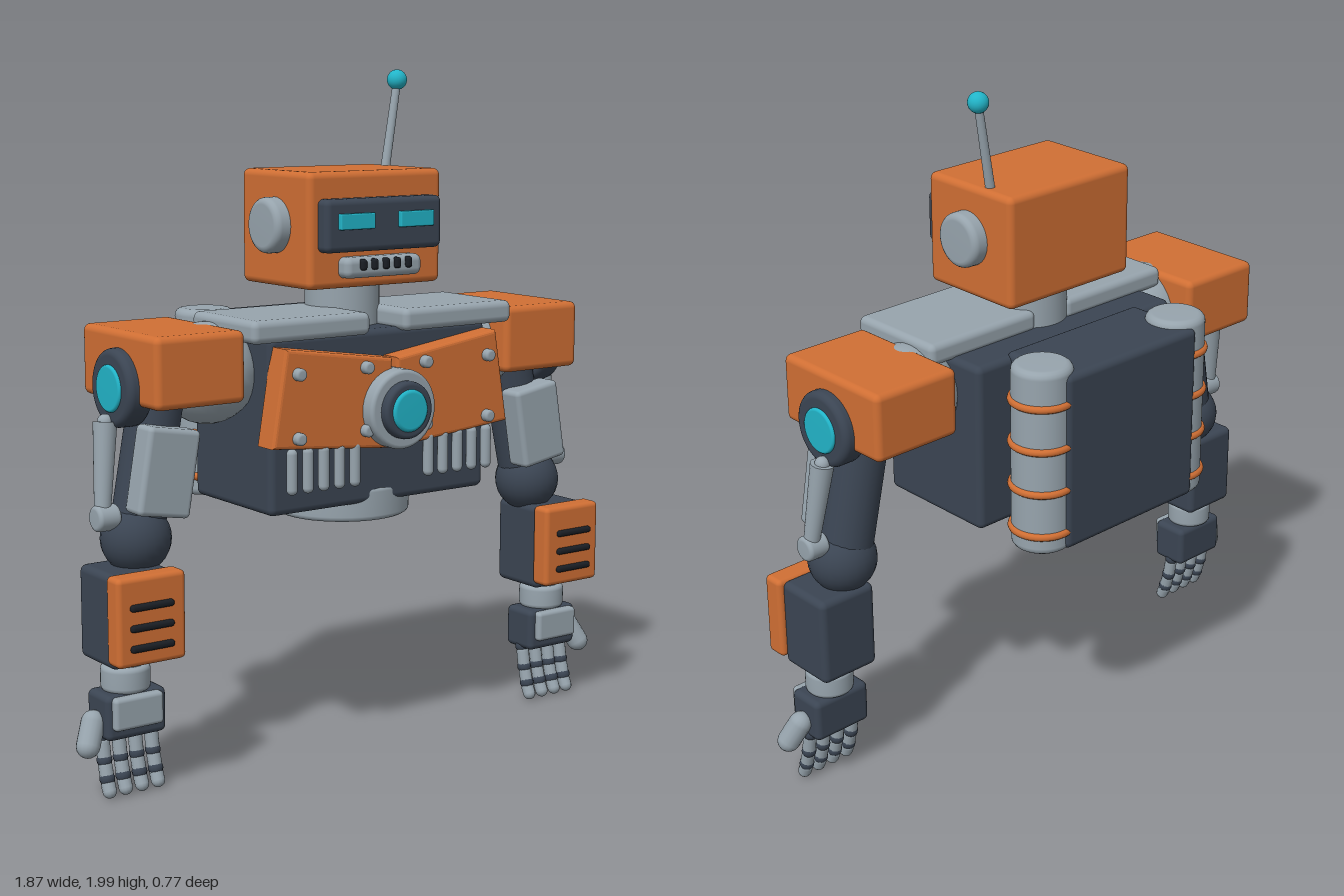
import * as THREE from 'three';
import { RoundedBoxGeometry } from 'three/addons/geometries/RoundedBoxGeometry.js';

const mat = (name, color) => {
  const m = new THREE.MeshStandardMaterial({ color });
  m.name = name;
  return m;
};

export function createModel() {
  const orange = mat('orange paint', 0xd06f34);
  const grey = mat('light metal', 0x97a4ad);
  const dark = mat('dark metal', 0x3b4553);
  const cyan = mat('cyan glow', 0x22b5c9);
  const black = mat('black slots', 0x1a1e24);

  const add = (parent, name, geo, material, x = 0, y = 0, z = 0) => {
    const m = new THREE.Mesh(geo, material);
    m.name = name;
    m.position.set(x, y, z);
    parent.add(m);
    return m;
  };
  // Box given by its limits on each axis
  const box = (parent, name, material, [x0, x1], [y0, y1], [z0, z1], r = 0.015) =>
    add(parent, name, new RoundedBoxGeometry(x1 - x0, y1 - y0, z1 - z0, 3, r), material,
      (x0 + x1) / 2, (y0 + y1) / 2, (z0 + z1) / 2);
  // Cylinder with softened rims, centred on its axis
  const drum = (r, h, b = 0.012) => {
    const p = [new THREE.Vector2(0, -h / 2)];
    for (let i = 0; i <= 4; i++) {
      const a = (i / 4) * Math.PI / 2;
      p.push(new THREE.Vector2(r - b + b * Math.sin(a), -h / 2 + b - b * Math.cos(a)));
    }
    for (let i = 0; i <= 4; i++) {
      const a = (i / 4) * Math.PI / 2;
      p.push(new THREE.Vector2(r - b + b * Math.cos(a), h / 2 - b + b * Math.sin(a)));
    }
    p.push(new THREE.Vector2(0, h / 2));
    return new THREE.LatheGeometry(p, 40);
  };
  const ball = (r) => new THREE.SphereGeometry(r, 24, 16);
  // Rod or capsule running between two points
  const between = (parent, name, material, a, b, geoFor) => {
    const A = new THREE.Vector3(...a), B = new THREE.Vector3(...b);
    const d = B.clone().sub(A);
    const m = add(parent, name, geoFor(d.length()), material);
    m.position.copy(A).add(B).multiplyScalar(0.5);
    m.quaternion.setFromUnitVectors(new THREE.Vector3(0, 1, 0), d.normalize());
    return m;
  };
  const capsule = (r) => (l) => new THREE.CapsuleGeometry(r, l, 6, 16);
  const rod = (r1, r0) => (l) => new THREE.CylinderGeometry(r1, r0, l, 20);

  const root = new THREE.Group();
  root.name = 'robot';
  const group = (name) => {
    const g = new THREE.Group();
    g.name = name;
    root.add(g);
    return g;
  };
  const sides = [-1, 1];

  // Head
  const head = group('head');
  box(head, 'skull', orange, [-0.235, 0.235], [1.39, 1.72], [-0.13, 0.215], 0.02);
  box(head, 'visor', dark, [-0.205, 0.205], [1.495, 1.645], [0.19, 0.258], 0.018);
  box(head, 'mouthPlate', grey, [-0.135, 0.135], [1.42, 1.48], [0.19, 0.258], 0.02);
  for (let i = -2; i <= 2; i++)
    box(head, 'mouthSlot', black, [i * 0.04 - 0.01, i * 0.04 + 0.01], [1.443, 1.475], [0.24, 0.27], 0.008);
  for (const s of sides) {
    box(head, 'eye', cyan, [s * 0.105 - 0.06, s * 0.105 + 0.06], [1.56, 1.605], [0.245, 0.272], 0.004);
    add(head, 'ear', drum(0.08, 0.09, 0.02), grey, s * 0.237, 1.565, 0.045).rotation.z = Math.PI / 2;
  }
  add(head, 'neck', drum(0.11, 0.2, 0.01), grey, 0, 1.32, 0.045);
  between(head, 'antenna', grey, [0.197, 1.7, -0.01], [0.248, 1.96, -0.02], rod(0.012, 0.014));
  add(head, 'antennaTip', ball(0.03), cyan, 0.249, 1.972, -0.02);

  // Torso
  const torso = group('torso');
  box(torso, 'trunk', dark, [-0.385, 0.385], [0.765, 1.27], [-0.16, 0.24], 0.02);
  add(torso, 'waist', drum(0.2, 0.1, 0.015), grey, 0, 0.76, 0.045);
  for (const s of sides) {
    box(torso, 'collarPlate', grey, [s * 0.26 - 0.2, s * 0.26 + 0.2], [1.26, 1.325], [-0.05, 0.275], 0.02);

    // Slanted chest panel
    const pts = [[0.018, 1.185], [0.03, 0.945], [0.408, 0.98], [0.365, 1.235]]
      .map(([x, y]) => new THREE.Vector2(s * x, y));
    const panel = new THREE.ExtrudeGeometry(new THREE.Shape(pts), {
      depth: 0.064, bevelEnabled: true, bevelThickness: 0.01, bevelSize: 0.01, bevelSegments: 3,
    });
    add(torso, 'chestPanel', panel, orange, 0, 0, 0.232);
    for (const x of [0.105, 0.337])
      for (const y of [0.995, 1.175])
        add(torso, 'bolt', drum(0.018, 0.04, 0.008), grey, s * x, y, 0.31).rotation.x = Math.PI / 2;

    // Vent bars under the panels
    for (let i = 0; i < 5; i++)
      between(torso, 'ventBar', grey, [s * (0.132 + i * 0.054), 0.85, 0.292],
        [s * (0.132 + i * 0.054), 0.95, 0.292], capsule(0.016));
  }
  for (const [name, r, z1, m] of [['coreRim', 0.115, 0.35, grey], ['coreRing', 0.083, 0.376, dark],
    ['coreLight', 0.062, 0.384, cyan]])
    add(torso, name, drum(r, 0.12, 0.012), m, 0, 1.05, z1 - 0.06).rotation.x = Math.PI / 2;

  // Backpack with banded tanks
  const pack = group('backpack');
  box(pack, 'packBody', dark, [-0.26, 0.26], [0.745, 1.28], [-0.387, -0.13], 0.02);
  for (const s of sides) {
    add(pack, 'tank', drum(0.088, 0.56, 0.022), grey, s * 0.267, 1.02, -0.29);
    for (const y of [0.8, 0.932, 1.063, 1.193])
      add(pack, 'tankBand', new THREE.TorusGeometry(0.086, 0.012, 10, 40), orange, s * 0.267, y, -0.29)
        .rotation.x = Math.PI / 2;
  }

  // Arms
  for (const s of sides) {
    const arm = group(s > 0 ? 'leftArm' : 'rightArm');
    const sx = (a, b) => (s > 0 ? [a, b] : [-b, -a]);
    add(arm, 'shoulderBall', ball(0.145), grey, s * 0.47, 1.16, 0.045);
    box(arm, 'shoulderArmour', orange, sx(0.465, 0.75), [1.1, 1.3], [-0.165, 0.245], 0.02);
    add(arm, 'shoulderDisc', drum(0.11, 0.08, 0.02), dark, s * 0.742, 1.143, 0.045).rotation.z = Math.PI / 2;
    add(arm, 'shoulderLight', drum(0.066, 0.08, 0.008), cyan, s * 0.75, 1.143, 0.045).rotation.z = Math.PI / 2;

    between(arm, 'upperArm', dark, [s * 0.632, 1.12, 0.045], [s * 0.71, 0.73, 0.055], rod(0.078, 0.078));
    add(arm, 'elbow', ball(0.1), dark, s * 0.715, 0.72, 0.06);
    const plate = box(arm, 'armPlate', grey, sx(0.587, 0.753), [0.792, 1.038], [0.095, 0.18], 0.015);
    plate.rotation.z = s * 0.17;

    // Outer piston: thin rod in a wider sleeve
    between(arm, 'pistonRod', grey, [s * 0.79, 1.05, 0.032], [s * 0.822, 0.78, 0.064], rod(0.022, 0.034));
    add(arm, 'pistonTop', ball(0.022), grey, s * 0.79, 1.05, 0.032);
    add(arm, 'pistonFoot', drum(0.037, 0.07, 0.012), grey, s * 0.812, 0.79, 0.064).rotation.z = Math.PI / 2;

    box(arm, 'forearm', dark, sx(0.665, 0.855), [0.385, 0.65], [-0.02, 0.17], 0.02);
    box(arm, 'forearmArmour', orange, sx(0.655, 0.87), [0.405, 0.655], [0.16, 0.228], 0.015);
    for (const y of [0.457, 0.514, 0.571])
      box(arm, 'forearmSlot', black, sx(0.697, 0.833), [y - 0.01, y + 0.01], [0.215, 0.24], 0.009);

    // Hand
    add(arm, 'wristPin', drum(0.055, 0.16, 0.005), grey, s * 0.765, 0.36, 0.08);
    add(arm, 'wrist', drum(0.07, 0.075, 0.015), grey, s * 0.767, 0.338, 0.08);
    box(arm, 'palm', dark, sx(0.67, 0.86), [0.175, 0.305], [0.022, 0.142], 0.018);
    box(arm, 'handPlate', grey, sx(0.69, 0.845), [0.207, 0.3], [0.12, 0.162], 0.012);
    between(arm, 'thumb', grey, [s * 0.875, 0.225, 0.085], [s * 0.903, 0.167, 0.107], capsule(0.034));
    for (const x of [0.69, 0.742, 0.794, 0.845]) {
      const joints = [[0.178, 0.08], [0.112, 0.092], [0.062, 0.106], [0.026, 0.12]];
      for (let i = 0; i < 3; i++) {
        const [y0, z0] = joints[i], [y1, z1] = joints[i + 1];
        add(arm, 'knuckle', new THREE.SphereGeometry(0.022, 12, 10), dark, s * x, y0, z0);
        between(arm, 'fingerBone', grey, [s * x, y0 - 0.012, z0 + 0.003], [s * x, y1, z1],
          (l) => new THREE.CapsuleGeometry(0.02, l * 0.8, 4, 12));
      }
    }
  }
  return root;
}
